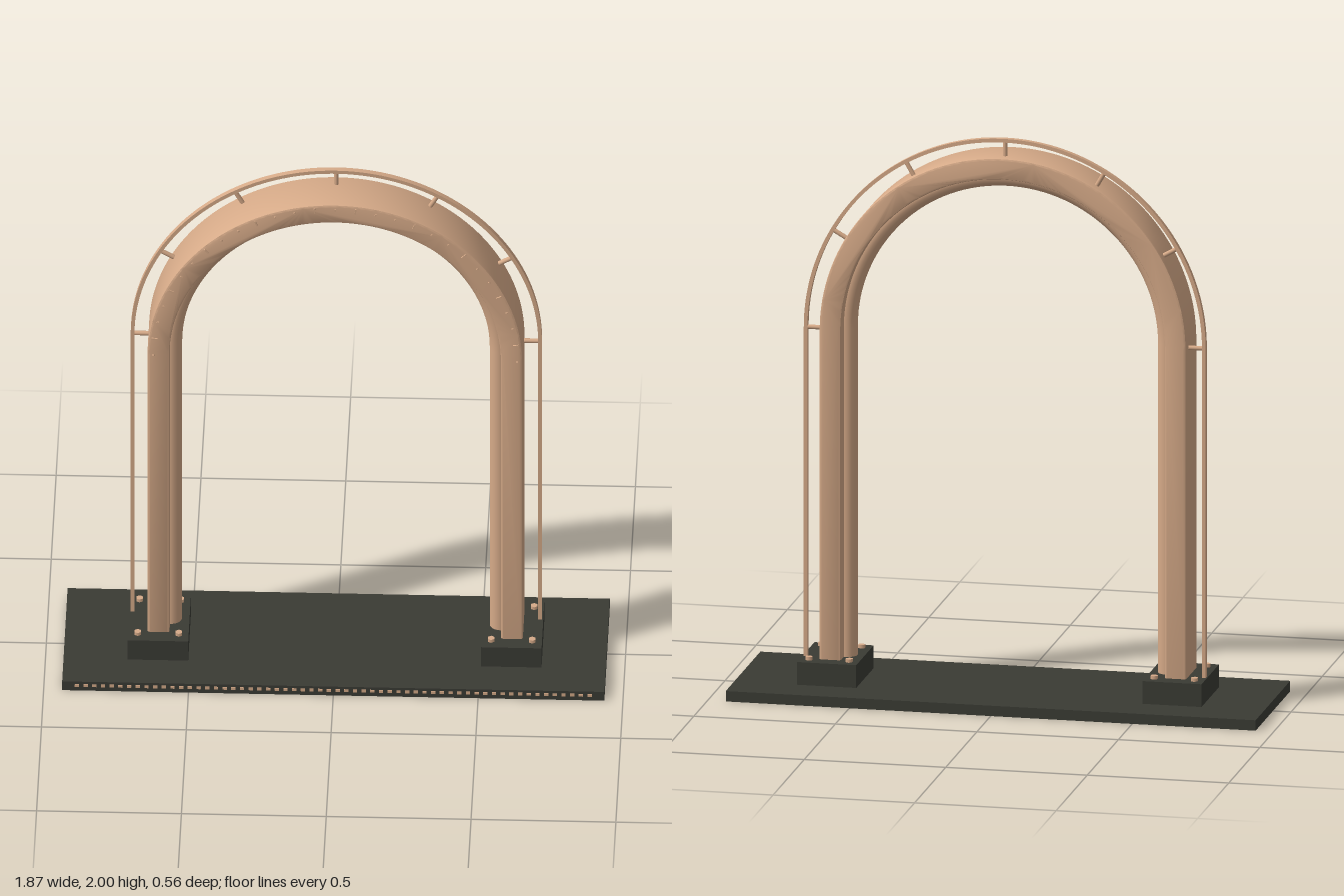
import * as THREE from 'three';
import { toCreasedNormals } from 'three/addons/utils/BufferGeometryUtils.js';

const SPRING = 1.29;   // height where the legs turn into the half circle
const FOOT = 0.118;    // top of the footing blocks
const RAIL_Z = -0.043;

export function createModel() {
  const group = new THREE.Group();
  const copper = new THREE.MeshStandardMaterial({ color: 0xd6aa88 });
  copper.name = 'copper';
  const charcoal = new THREE.MeshStandardMaterial({ color: 0x3a3b34 });
  charcoal.name = 'charcoal';

  const add = (name, geometry, material, x = 0, y = 0, z = 0) => {
    const mesh = new THREE.Mesh(geometry, material);
    mesh.name = name;
    mesh.position.set(x, y, z);
    group.add(mesh);
    return mesh;
  };

  // Upside-down U of rectangular section, centred on z = 0
  const archGeometry = (inner, outer, depth, bevel) => {
    const a = inner + bevel, b = outer - bevel, foot = FOOT - 0.01;
    const shape = new THREE.Shape();
    shape.moveTo(b, foot);
    shape.lineTo(b, SPRING);
    shape.absarc(0, SPRING, b, 0, Math.PI, false);
    shape.lineTo(-b, foot);
    shape.lineTo(-a, foot);
    shape.lineTo(-a, SPRING);
    shape.absarc(0, SPRING, a, Math.PI, 0, true);
    shape.lineTo(a, foot);
    const geometry = new THREE.ExtrudeGeometry(shape, {
      depth: depth - 2 * bevel, curveSegments: 64, bevelEnabled: bevel > 0,
      bevelSize: bevel, bevelThickness: bevel, bevelSegments: 2,
    });
    geometry.translate(0, 0, bevel - depth / 2);
    return toCreasedNormals(geometry, 0.5);
  };

  // Base plate with a row of small inlays along its front edge
  add('basePlate', new THREE.BoxGeometry(1.872, 0.037, 0.556), charcoal, 0, 0.0185, 0);
  const inlay = new THREE.BoxGeometry(0.015, 0.01, 0.005);
  for (let i = 0; i < 60; i++) {
    add('edgeInlay', inlay, copper, -0.885 + i * 0.03, 0.022, 0.2785);
  }

  // Main arch and the round tube lining its inside
  add('archBody', archGeometry(0.572, 0.648, 0.174, 0.008), copper);
  const tubeR = 0.568, tube = 0.037;
  add('innerTubeBend', new THREE.TorusGeometry(tubeR, tube, 20, 64, Math.PI), copper, 0, SPRING, 0);
  const tubeLeg = new THREE.CylinderGeometry(tube, tube, SPRING - FOOT, 20);

  // Thin outer rail
  add('outerRail', archGeometry(0.697, 0.71, 0.02, 0), copper, 0, 0, RAIL_Z);

  // Footings, bolts and straight tube runs on both sides
  const footing = new THREE.BoxGeometry(0.209, 0.081, 0.28);
  const bolt = new THREE.CylinderGeometry(0.013, 0.013, 0.012, 6);
  for (const side of [-1, 1]) {
    add('footing', footing, charcoal, side * 0.61, 0.0775, 0);
    add('innerTubeLeg', tubeLeg, copper, side * tubeR, (SPRING + FOOT) / 2, 0);
    for (const dx of [-0.071, 0.071]) {
      for (const z of [-0.1, 0.1]) {
        add('footingBolt', bolt, copper, side * 0.61 + dx, FOOT + 0.006, z);
      }
    }
  }

  // Radial struts that hold the rail
  const strut = new THREE.CylinderGeometry(0.008, 0.008, 0.062, 12);
  for (let i = 0; i <= 6; i++) {
    const t = i * Math.PI / 6, r = 0.671;
    add('railStrut', strut, copper, r * Math.cos(t), SPRING + r * Math.sin(t), RAIL_Z)
      .rotation.z = t - Math.PI / 2;
  }

  // Dial ticks on the front face, every third one longer
  const shortTick = new THREE.BoxGeometry(0.007, 0.005, 0.008);
  const longTick = new THREE.BoxGeometry(0.02, 0.005, 0.008);
  for (let k = -14; k <= 14; k++) {
    const t = Math.PI / 2 + k * Math.PI / 28, r = 0.628;
    const long = Math.abs(k) % 3 === 1;
    add('dialTick', long ? longTick : shortTick, copper,
      r * Math.cos(t), SPRING + r * Math.sin(t), 0.088).rotation.z = t;
  }

  return group;
}
